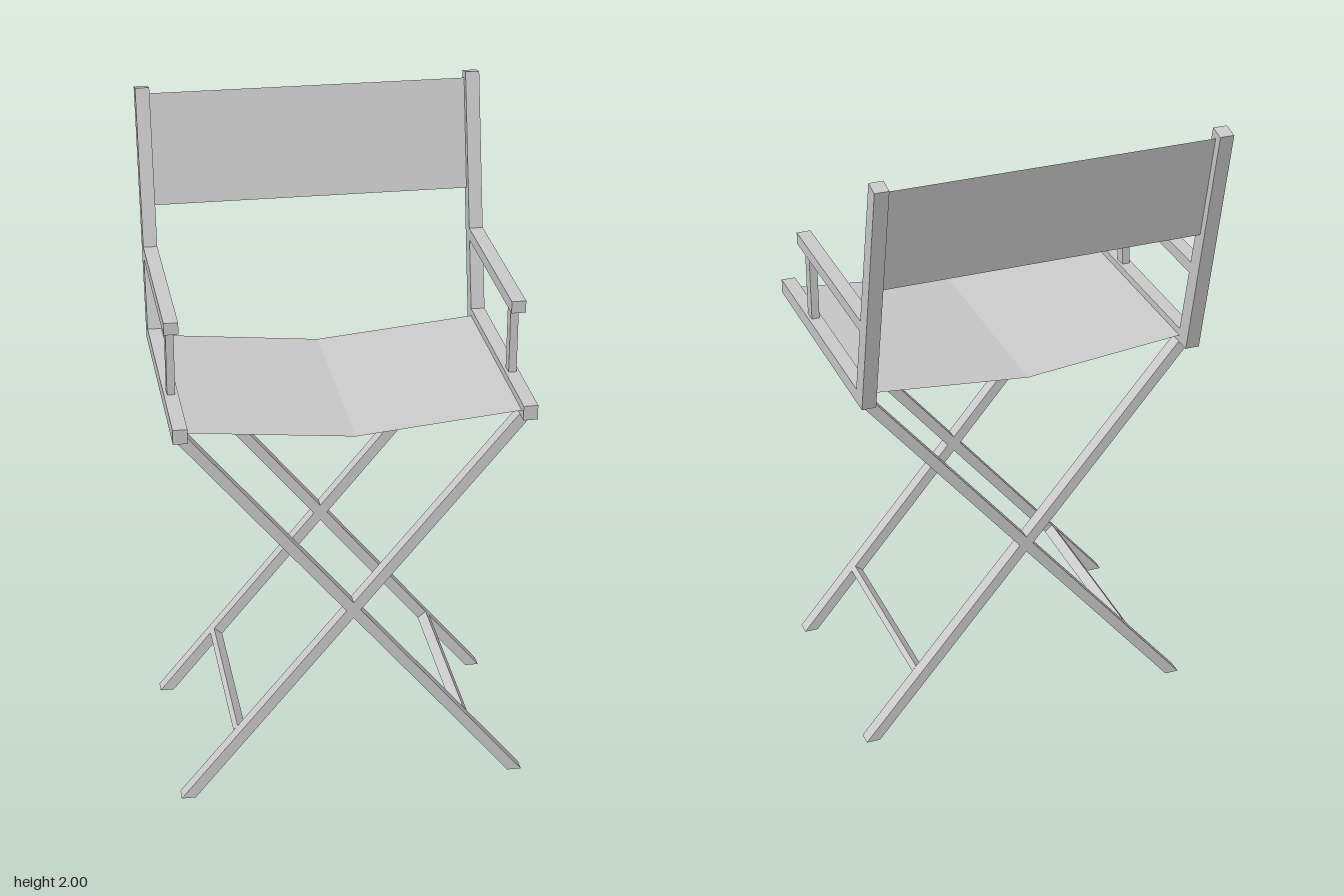
import * as THREE from 'three';

const material = new THREE.MeshStandardMaterial({ color: 0xcccccc, flatShading: true });
const fabric = new THREE.MeshStandardMaterial({ color: 0xcccccc, flatShading: true, side: THREE.DoubleSide });

// Flat outline extruded to a given thickness, centred on its own plane
function prism(points, depth) {
  const shape = new THREE.Shape(points.map(([a, b]) => new THREE.Vector2(a, b)));
  return new THREE.ExtrudeGeometry(shape, { depth, bevelEnabled: false }).translate(0, 0, -depth / 2);
}

// Outline given as [z, y], extruded along x
const sidePrism = (points, width) => prism(points, width).rotateY(-Math.PI / 2);

// Thin cloth strip between rows of [left point, right point]
function cloth(rows) {
  const index = [];
  for (let i = 0; i < rows.length - 1; i++) {
    const a = i * 2;
    index.push(a, a + 1, a + 2, a + 1, a + 3, a + 2);
  }
  const g = new THREE.BufferGeometry();
  g.setAttribute('position', new THREE.Float32BufferAttribute(rows.flat(2), 3));
  g.setIndex(index);
  const flat = g.toNonIndexed();
  flat.computeVertexNormals();
  return flat;
}

export function createModel() {
  const chair = new THREE.Group();
  chair.name = 'foldingChair';
  const add = (name, geometry, mat = material) => {
    const mesh = new THREE.Mesh(geometry, mat);
    mesh.name = name;
    chair.add(mesh);
    return mesh;
  };

  const railX = 0.5115, railW = 0.043;
  const legAngle = Math.atan2(1.23, 1.022);

  for (const s of [1, -1]) {
    const side = s > 0 ? 'left' : 'right';

    // Seat rail, raked back post and armrest
    add(side + 'SeatRail', sidePrism([[0.475, 1.23], [0.475, 1.275], [-0.262, 1.275], [-0.262, 1.23]], railW)).position.x = s * railX;
    add(side + 'BackPost', sidePrism([[-0.26, 1.23], [-0.262, 1.275], [-0.427, 2.0], [-0.476, 1.99], [-0.31, 1.23]], railW)).position.x = s * railX;
    add(side + 'Armrest', sidePrism([[0.285, 1.488], [0.285, 1.525], [-0.322, 1.525], [-0.314, 1.488]], railW)).position.x = s * railX;
    add(side + 'ArmSupport', sidePrism([[0.192, 1.275], [0.232, 1.275], [0.235, 1.488], [0.196, 1.488]], 0.024)).position.x = s * railX;

    // Crossing legs, cut level at floor and rail
    for (const [end, z] of [['Front', 0.407], ['Rear', -0.238]]) {
      add(side + end + 'Leg', prism([[s * 0.49, 0], [s * 0.533, 0], [-s * 0.49, 1.23], [-s * 0.533, 1.23]], 0.043)).position.z = z;
    }

    // Flat stretcher joining the front and rear legs, square to them
    const stretcher = add(side + 'Stretcher', new THREE.BoxGeometry(0.02, 0.034, 0.602));
    stretcher.position.set(s * (0.5115 - 0.2 * 1.023 / 1.23), 0.2, 0.0845);
    stretcher.rotation.z = -s * legAngle;
  }

  // Sagging cloth seat with a crease down the middle
  add('seat', cloth([[-0.49, 1.252], [0, 1.205], [0.49, 1.252]].map(([x, y]) => [[x, y, -0.262], [x, y, 0.452]]).map(([b, f]) => [b, f])), fabric);

  // Cloth back strip, following the rake of the posts
  add('backrest', cloth([[1.64, -0.374], [1.975, -0.447]].map(([y, z]) => [[-0.49, y, z], [0.49, y, z]])), fabric);

  return chair;
}
